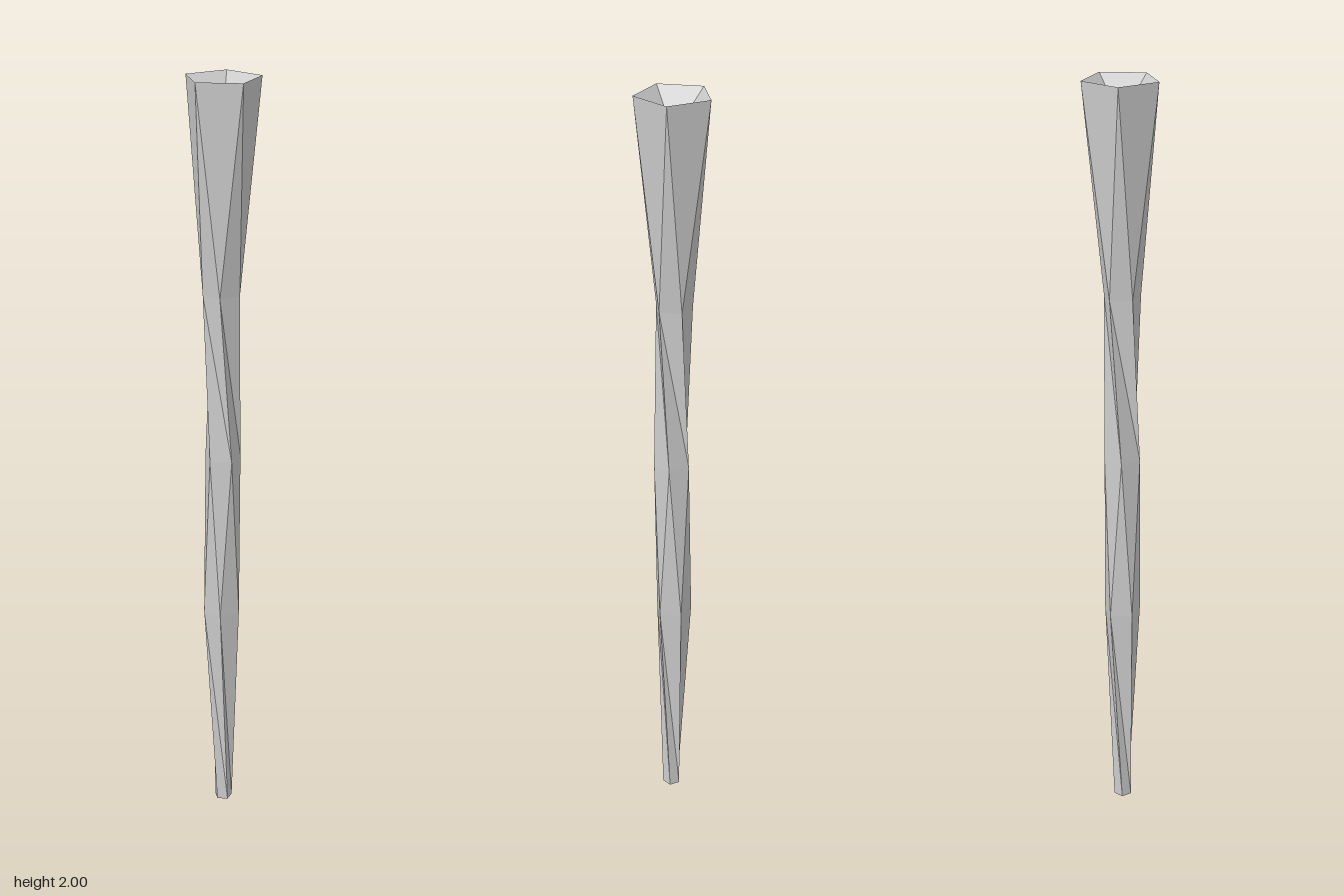
import * as THREE from 'three';

const SIDES = 5;

// Cross-sections from foot to rim: height, radius, twist in degrees, centre x, centre z
const SHAFT = [
  [0, 0.024, 0, -0.002, -0.005],
  [0.58, 0.049, -36, -0.003, -0.009],
  [1.02, 0.048, 0, -0.003, -0.007],
  [1.46, 0.049, -36, -0.003, -0.009],
  [2, 0.098, 0, 0, -0.01],
];

// Shallow hollow sunk into the flared top: rim, then floor
const HOLLOW = [
  [2, 0.098, 0, 0, -0.01],
  [1.943, 0.04, 0, 0, -0.009],
];

// Skins a stack of pentagons, optionally closing the first or last one
function loft(rings, capStart, capEnd) {
  const points = [];
  const index = [];
  for (const [y, r, twist, cx, cz] of rings) {
    for (let i = 0; i < SIDES; i++) {
      const a = THREE.MathUtils.degToRad(twist + (i * 360) / SIDES);
      points.push(cx + r * Math.sin(a), y, cz + r * Math.cos(a));
    }
  }
  for (let k = 0; k < rings.length - 1; k++) {
    for (let i = 0; i < SIDES; i++) {
      const a = k * SIDES + i;
      const b = k * SIDES + ((i + 1) % SIDES);
      index.push(a, b, a + SIDES, b, b + SIDES, a + SIDES);
    }
  }
  const last = (rings.length - 1) * SIDES;
  for (let i = 1; i < SIDES - 1; i++) {
    if (capStart) index.push(0, i + 1, i);
    if (capEnd) index.push(last, last + i, last + i + 1);
  }
  const indexed = new THREE.BufferGeometry();
  indexed.setAttribute('position', new THREE.Float32BufferAttribute(points, 3));
  indexed.setIndex(index);
  const geometry = indexed.toNonIndexed();
  geometry.computeVertexNormals();
  return geometry;
}

export function createModel() {
  const group = new THREE.Group();
  group.name = 'stick';
  const material = new THREE.MeshStandardMaterial({ color: 0xcccccc, flatShading: true });

  // Twisting shaft with closed foot
  const shaft = new THREE.Mesh(loft(SHAFT, true, false), material);
  shaft.name = 'shaft';

  // Inner walls and floor of the open top
  const hollow = new THREE.Mesh(loft(HOLLOW, false, true), material);
  hollow.name = 'topHollow';

  group.add(shaft, hollow);
  return group;
}
